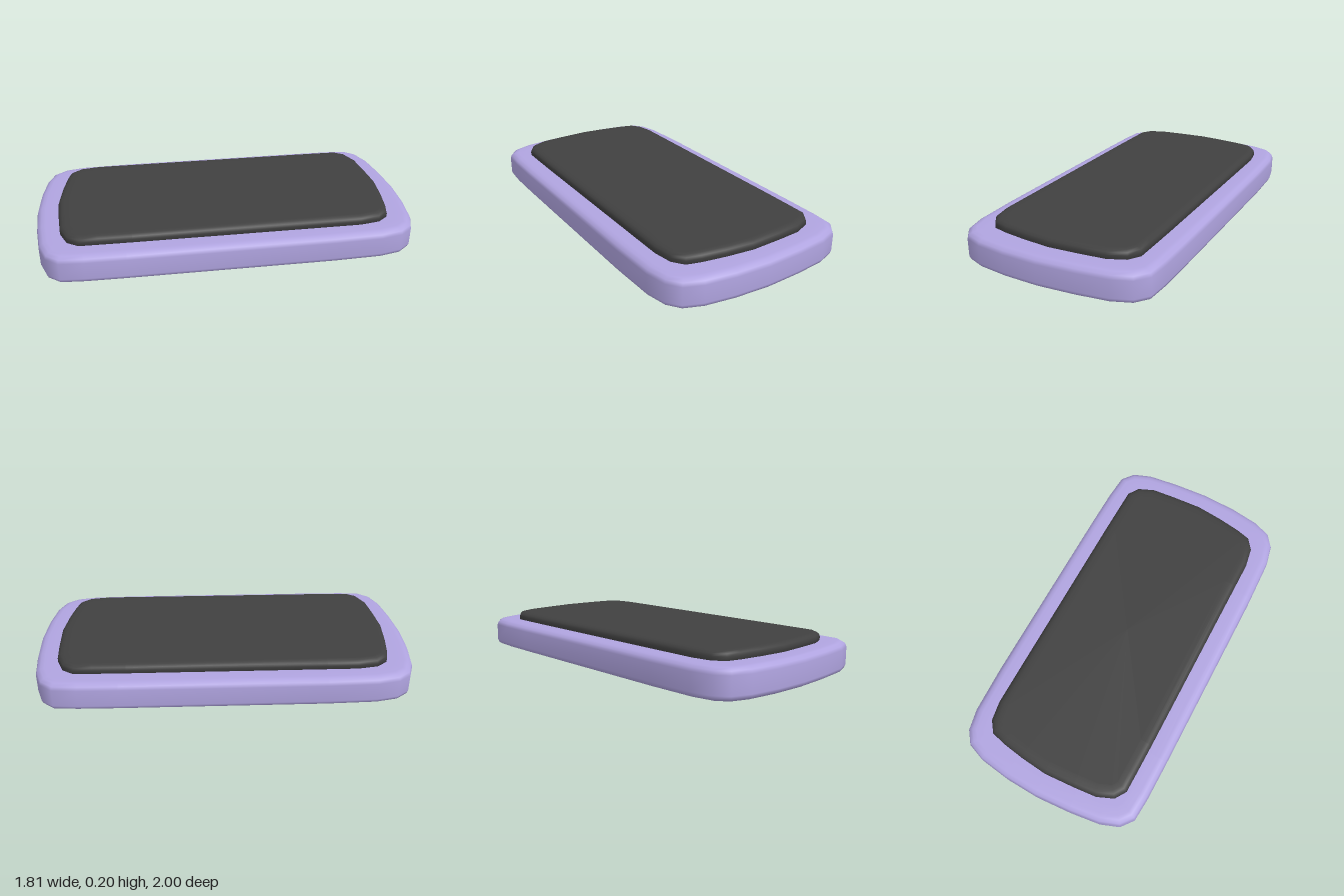
import * as THREE from 'three';

// Half outlines [x, z]; the other half is the same turned by 180 degrees.
const BODY_HALF = [
  [0.04, -0.89], [0.12, -0.98], [0.2, -1], [0.3, -0.97], [0.44, -0.89], [0.6, -0.785],
  [0.74, -0.67], [0.85, -0.56], [0.903, -0.475], [0.903, -0.395], [0.855, -0.293], [0.71, -0.09], [0.085, 0.73],
];
const PANEL_HALF = [
  [0.085, -0.775], [0.14, -0.845], [0.205, -0.868], [0.295, -0.845], [0.4, -0.78], [0.535, -0.69],
  [0.64, -0.593], [0.725, -0.505], [0.772, -0.445], [0.772, -0.375], [0.725, -0.285], [0.63, -0.16], [0.02, 0.64],
];

const fullOutline = (half) => [...half, ...half.map(([x, z]) => [-x, -z])];

// Moves the outline inwards by d along its mitred corner normals.
function inset(points, d) {
  const n = points.length;
  const edgeNormal = (a, b) => new THREE.Vector2(b[1] - a[1], a[0] - b[0]).normalize();
  return points.map((p, i) => {
    const n1 = edgeNormal(points[(i + n - 1) % n], p);
    const n2 = edgeNormal(p, points[(i + 1) % n]);
    const m = n1.clone().add(n2).normalize();
    const k = d / m.dot(n1);
    return [p[0] - m.x * k, p[1] - m.y * k];
  });
}

// Closed slab from levels [inset, y], listed from the bottom up.
function slab(half, levels) {
  const outline = fullOutline(half);
  const n = outline.length;
  const pos = [];
  const index = [];
  levels.forEach(([d, y]) => inset(outline, d).forEach(([x, z]) => pos.push(x, y, z)));
  const last = (levels.length - 1) * n;
  const bottom = levels.length * n;
  pos.push(0, levels[0][1], 0, 0, levels[levels.length - 1][1], 0);
  for (let i = 0; i < n; i++) {
    const j = (i + 1) % n;
    for (let r = 0; r < last; r += n) {
      index.push(r + i, r + n + i, r + j, r + j, r + n + i, r + n + j);
    }
    index.push(bottom, i, j, bottom + 1, last + j, last + i);
  }
  const geometry = new THREE.BufferGeometry();
  geometry.setAttribute('position', new THREE.Float32BufferAttribute(pos, 3));
  geometry.setIndex(index);
  geometry.computeVertexNormals();
  return geometry;
}

function part(name, geometry, color) {
  const mesh = new THREE.Mesh(geometry, new THREE.MeshStandardMaterial({ color }));
  mesh.name = name;
  return mesh;
}

export function createModel() {
  const group = new THREE.Group();
  group.name = 'roundedTablet';

  // Thick case with softly rounded rims
  group.add(part('case', slab(BODY_HALF, [
    [0.07, 0], [0.045, 0.003], [0.025, 0.008], [0.007, 0.018], [0, 0.036],
    [0, 0.125], [0.007, 0.143], [0.025, 0.154], [0.045, 0.157], [0.09, 0.157],
  ]), 0xb0a4e0));

  // Raised dark panel on top
  group.add(part('topPanel', slab(PANEL_HALF, [
    [0, 0.14], [0, 0.175], [0.005, 0.188], [0.018, 0.197], [0.035, 0.2], [0.06, 0.2],
  ]), 0x404040));

  return group;
}
